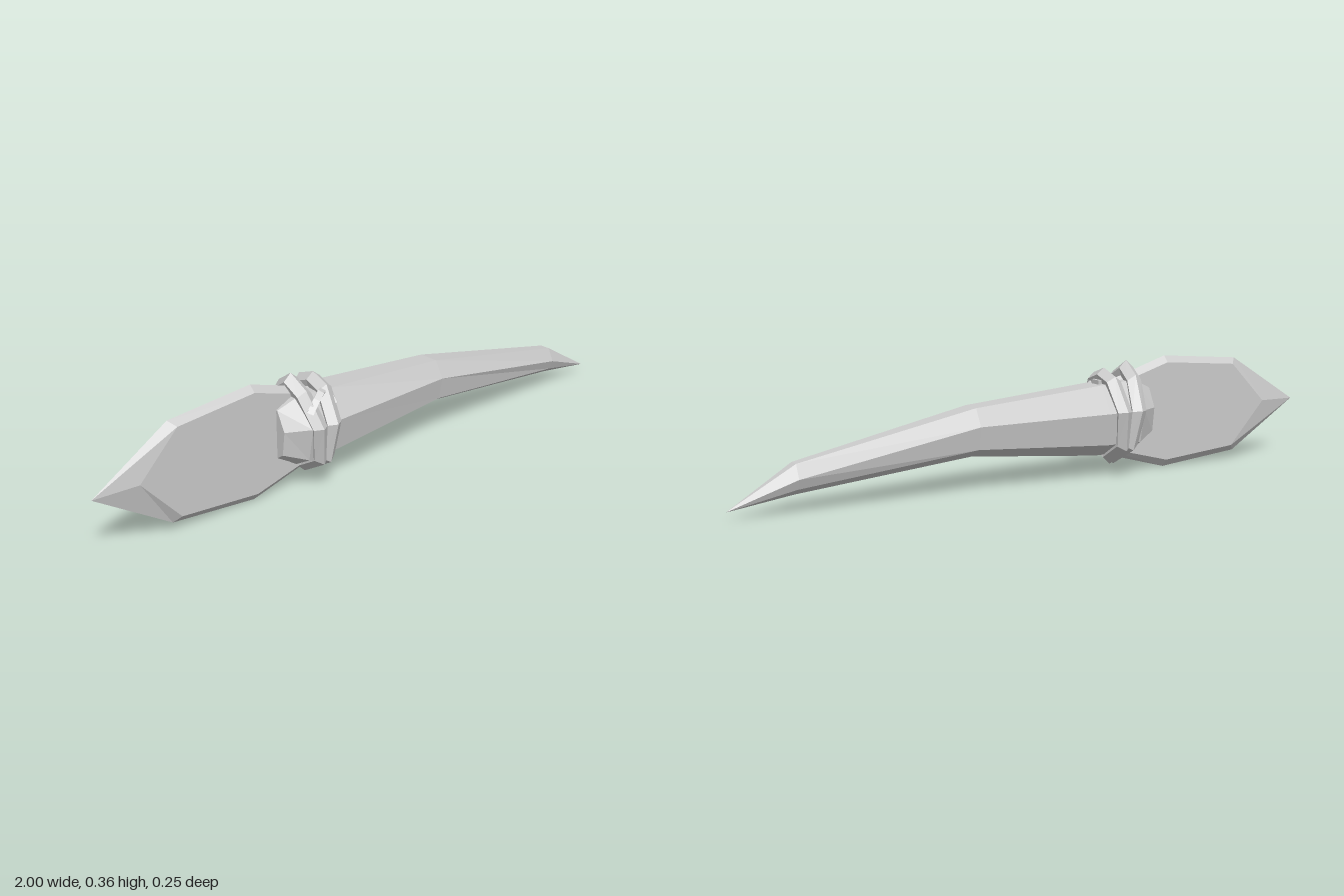
import * as THREE from 'three';

const material = new THREE.MeshStandardMaterial({ color: 0xcccccc, flatShading: true });

// Skin a list of equal-length point loops; optionally close the list or cap its ends.
function loft(name, sections, { closed = false, caps = true } = {}) {
  const n = sections[0].length;
  const count = sections.length;
  const index = [];
  for (let s = 0; s < (closed ? count : count - 1); s++) {
    const next = (s + 1) % count;
    for (let i = 0; i < n; i++) {
      const j = (i + 1) % n;
      const a = s * n + i, b = s * n + j, c = next * n + j, d = next * n + i;
      index.push(a, b, c, a, c, d);
    }
  }
  if (caps && !closed) {
    const e = (count - 1) * n;
    for (let i = 1; i < n - 1; i++) index.push(0, i + 1, i, e, e + i, e + i + 1);
  }
  const geometry = new THREE.BufferGeometry();
  geometry.setAttribute('position', new THREE.Float32BufferAttribute(sections.flat(2), 3));
  geometry.setIndex(index);
  const flat = geometry.toNonIndexed();
  flat.computeVertexNormals();
  const mesh = new THREE.Mesh(flat, material);
  mesh.name = name;
  return mesh;
}

// Seven-sided horn handle: flat top, two flanks per side and a keel below.
function createHandle() {
  // x, top y, top z, middle y, middle z, lower y, lower z, keel y
  const stations = [
    [-0.39, 0.27, 0.025, 0.21, 0.055, 0.135, 0.045, 0.105],
    [-0.32, 0.303, 0.042, 0.213, 0.1, 0.11, 0.08, 0.065],
    [-0.2, 0.293, 0.04, 0.21, 0.093, 0.11, 0.075, 0.065],
    [0.24, 0.258, 0.033, 0.205, 0.063, 0.135, 0.05, 0.107],
    [0.8, 0.147, 0.017, 0.105, 0.037, 0.075, 0.025, 0.057],
    [1, 0.03, 0, 0.03, 0, 0.03, 0, 0.03],
  ];
  return loft('handle', stations.map(([x, ty, tz, my, mz, ly, lz, ky]) => [
    [x, ty, -tz], [x, ty, tz], [x, my, mz], [x, ly, lz],
    [x, ky, 0], [x, ly, -lz], [x, my, -mz],
  ]));
}

// Flat stone blade with bevelled edges and a faceted point.
function createBlade() {
  // edge x, edge top, edge bottom, face x, face top, face bottom, half thickness
  const stations = [
    [-1, 0.185, 0.185, -0.86, 0.19, 0.19, 0.02],
    [-0.75, 0.34, 0.03, -0.73, 0.322, 0.05, 0.02],
    [-0.465, 0.365, 0.004, -0.465, 0.345, 0.028, 0.02],
    [-0.15, 0.268, 0.09, -0.15, 0.25, 0.11, 0.02],
  ];
  return loft('blade', stations.map(([ex, et, eb, fx, ft, fb, t]) => [
    [ex, et, 0], [fx, ft, t], [fx, fb, t],
    [ex, eb, 0], [fx, fb, -t], [fx, ft, -t],
  ]));
}

// Angular cord loop with a ridged section, leaning along x.
function createBinding(name, x, lean, top) {
  const outline = [
    [0, top], [0.062, 0.32], [0.123, 0.215], [0.1, 0.09],
    [0, 0.033], [-0.1, 0.09], [-0.123, 0.215], [-0.062, 0.32],
  ];
  const scaled = (p, k) => [0.2 + (p[1] - 0.2) * k, p[0] * k];
  return loft(name, outline.map((p) => {
    const cx = x + lean * (p[1] - 0.2);
    const [oy, oz] = scaled(p, 1);
    const [my, mz] = scaled(p, 0.86);
    const [iy, iz] = scaled(p, 0.7);
    return [
      [cx, oy, oz], [cx - 0.026, my, mz], [cx - 0.02, iy, iz],
      [cx + 0.02, iy, iz], [cx + 0.026, my, mz],
    ];
  }), { closed: true });
}

// Faceted cord through a few points, used for the loose knot.
function createCord(name, points, radius) {
  const path = new THREE.CurvePath();
  const vectors = points.map((p) => new THREE.Vector3(...p));
  for (let i = 1; i < vectors.length; i++) path.add(new THREE.LineCurve3(vectors[i - 1], vectors[i]));
  const mesh = new THREE.Mesh(new THREE.TubeGeometry(path, 8, radius, 4), material);
  mesh.name = name;
  return mesh;
}

export function createModel() {
  const group = new THREE.Group();
  group.name = 'boneKnife';
  group.add(createBlade(), createHandle());
  group.add(createBinding('innerBinding', -0.295, -0.14, 0.36));
  group.add(createBinding('outerBinding', -0.245, 0.08, 0.342));

  // Cord end crossing the bindings and tucked over the handle
  group.add(createCord('knotLoop', [
    [-0.32, 0.255, 0.085], [-0.27, 0.3, 0.07], [-0.215, 0.297, 0.035], [-0.215, 0.255, 0.075],
  ], 0.014));
  const tuck = new THREE.Mesh(new THREE.BoxGeometry(0.05, 0.02, 0.04), material);
  tuck.name = 'knotTuck';
  tuck.position.set(-0.225, 0.296, 0);
  group.add(tuck);
  return group;
}
